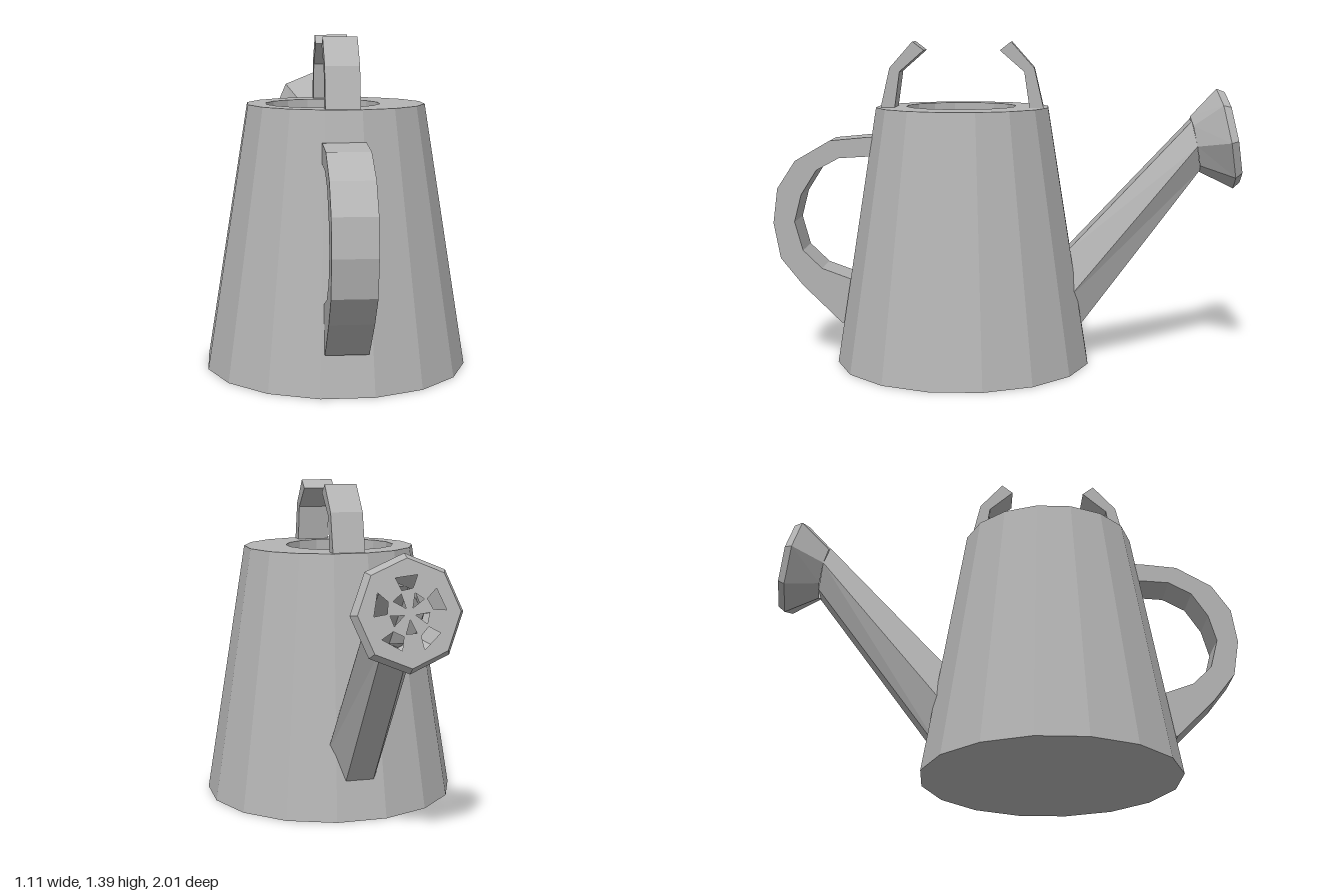
import * as THREE from 'three';

export function createModel() {
  const model = new THREE.Group();
  const metal = new THREE.MeshStandardMaterial({ color: 0xb4b4b4, flatShading: true, side: THREE.DoubleSide });
  metal.name = 'grey metal';

  const add = (parent, name, geometry) => {
    const mesh = new THREE.Mesh(geometry, metal);
    mesh.name = name;
    parent.add(mesh);
    return mesh;
  };

  // Regular polygon outline, first corner at angle phase
  const polygon = (n, r, cx = 0, cy = 0, phase = 0) =>
    Array.from({ length: n }, (_, i) => {
      const a = phase + (i / n) * Math.PI * 2;
      return new THREE.Vector2(cx + r * Math.cos(a), cy + r * Math.sin(a));
    });

  // Side profile (z, y) given a width along x
  const slab = (points, width) => {
    const shape = new THREE.Shape(points.map(([z, y]) => new THREE.Vector2(z, y)));
    return new THREE.ExtrudeGeometry(shape, { depth: width, bevelEnabled: false })
      .translate(0, 0, -width / 2).rotateY(-Math.PI / 2);
  };

  // Skin over a row of polygonal rings: [z, y, halfWidth, halfHeight, lean]
  const loft = (rings, sides) => {
    const pos = [];
    const corner = ([z, y, w, h, lean], i) => {
      const a = (i / sides) * Math.PI * 2;
      return [w * Math.cos(a), y + h * Math.sin(a), z + lean * h * Math.sin(a)];
    };
    for (let r = 0; r < rings.length - 1; r++) {
      for (let i = 0; i < sides; i++) {
        const a = corner(rings[r], i), b = corner(rings[r], i + 1);
        const c = corner(rings[r + 1], i), d = corner(rings[r + 1], i + 1);
        pos.push(...a, ...c, ...b, ...b, ...c, ...d);
      }
    }
    const g = new THREE.BufferGeometry();
    g.setAttribute('position', new THREE.Float32BufferAttribute(pos, 3));
    g.computeVertexNormals();
    return g;
  };

  // Body: tapered can with an off-centre opening
  const H = 1.11, holeX = -0.055, holeR = 0.24;
  const body = new THREE.Group();
  body.name = 'body';
  body.position.z = 0.18;
  model.add(body);
  add(body, 'canWall', new THREE.CylinderGeometry(0.375, 0.555, H, 16, 1, true).translate(0, H / 2, 0));
  add(body, 'canBase', new THREE.CircleGeometry(0.555, 16).rotateX(Math.PI / 2));
  const rim = new THREE.Shape(polygon(16, 0.375));
  rim.holes.push(new THREE.Path(polygon(16, holeR, holeX)));
  add(body, 'rim', new THREE.ShapeGeometry(rim).rotateX(-Math.PI / 2).translate(0, H, 0));
  add(body, 'innerWall', new THREE.CylinderGeometry(holeR, holeR, H - 0.08, 16, 1, true)
    .translate(holeX, (H + 0.08) / 2, 0));
  add(body, 'innerFloor', new THREE.CircleGeometry(holeR, 16).rotateX(-Math.PI / 2).translate(holeX, 0.08, 0));

  // Handle, hooks and spout share one slightly turned axis
  const fittings = new THREE.Group();
  fittings.name = 'fittings';
  fittings.position.z = 0.18;
  fittings.rotation.y = -0.2;
  model.add(fittings);

  add(fittings, 'handle', slab([
    [0.235, 0.985], [0.41, 0.983], [0.569, 0.968], [0.721, 0.88], [0.8, 0.76], [0.82, 0.61],
    [0.792, 0.455], [0.697, 0.335], [0.53, 0.17], [0.42, 0.17],
    [0.42, 0.34], [0.503, 0.37], [0.612, 0.41], [0.694, 0.49], [0.728, 0.615],
    [0.697, 0.733], [0.629, 0.84], [0.53, 0.893], [0.41, 0.9], [0.235, 0.9],
  ], 0.174));

  // Two bent stubs facing each other over the opening
  for (const [name, turn] of [['frontHook', 0], ['backHook', Math.PI]]) {
    add(fittings, name, slab([
      [0.355, 1.06], [0.348, 1.11], [0.309, 1.278], [0.21, 1.39],
      [0.162, 1.353], [0.266, 1.262], [0.288, 1.11], [0.295, 1.06],
    ], 0.14)).rotation.y = turn;
  }

  // Spout and flared head
  const lean = 0.19, neck = [-1.0, 0.95, 0.108, 0.12, lean];
  add(fittings, 'spout', loft([[-0.44, 0.27, 0.122, 0.236, 0], neck], 6));
  add(fittings, 'spoutHead', loft([
    neck, [-1.128, 0.974, 0.215, 0.215, lean], [-1.16, 0.98, 0.195, 0.195, lean],
  ], 8));

  // Sprinkler plate with two rings of holes
  const plate = new THREE.Shape(polygon(8, 0.195));
  const at = (r, a) => new THREE.Vector2(r * Math.cos(a), r * Math.sin(a));
  for (let i = 0; i < 5; i++) {
    const a = (i / 5) * Math.PI * 2 + 0.3, b = a + Math.PI / 5;
    plate.holes.push(new THREE.Path([at(0.085, a - 0.3), at(0.135, a - 0.35), at(0.14, a + 0.28), at(0.09, a + 0.2)]));
    plate.holes.push(new THREE.Path([at(0.022, b), at(0.075, b - 0.3), at(0.075, b + 0.25)]));
  }
  const plateGeo = new THREE.ShapeGeometry(plate);
  const p = plateGeo.attributes.position;
  for (let i = 0; i < p.count; i++) p.setXYZ(i, p.getX(i), p.getY(i) + 0.98, -1.16 + lean * p.getY(i));
  plateGeo.computeVertexNormals();
  add(fittings, 'sprinklerPlate', plateGeo);

  return model;
}
